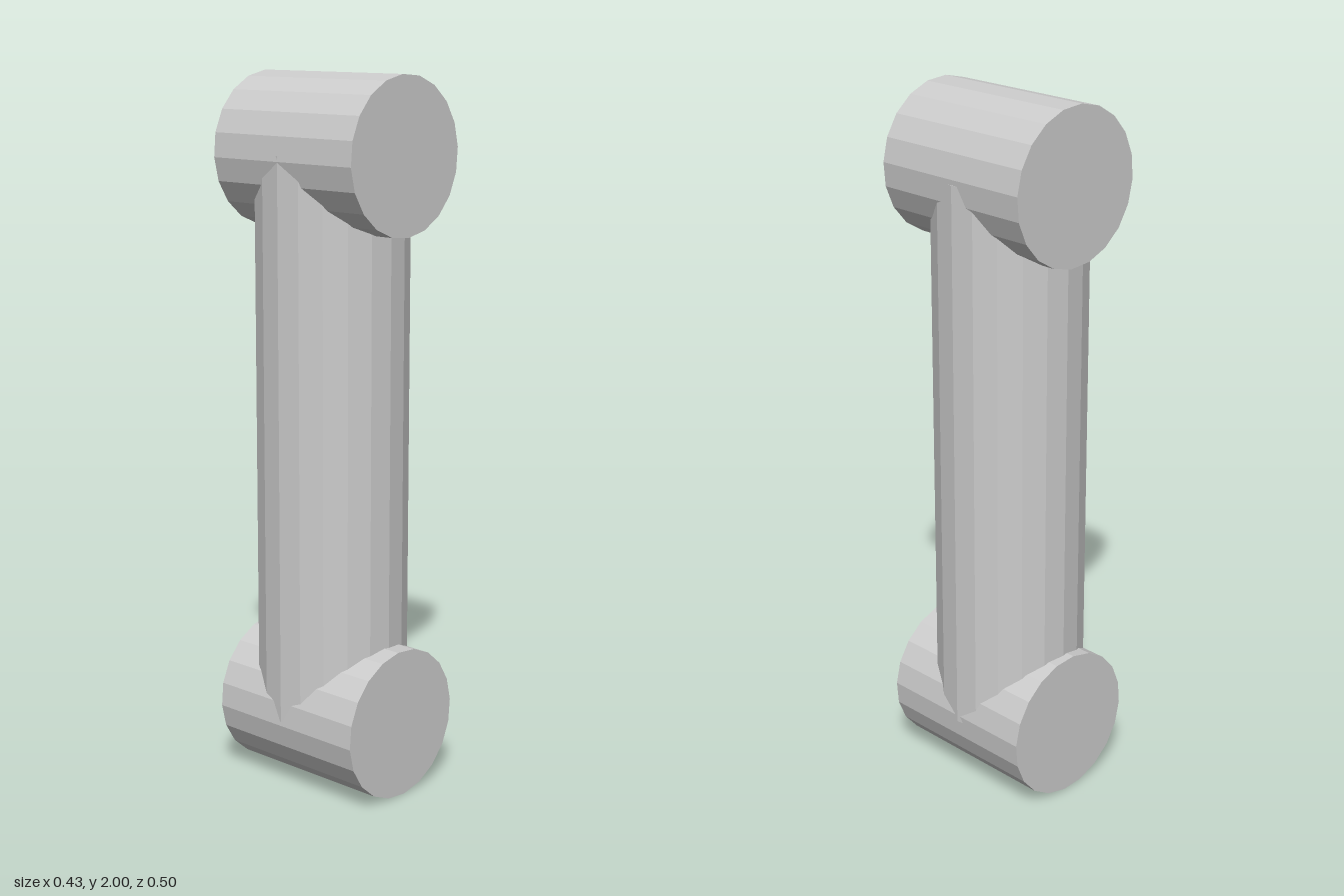
import * as THREE from 'three';

const RADIUS = 0.2135;
const SIDES = 20;

export function createModel() {
  const group = new THREE.Group();
  const material = new THREE.MeshStandardMaterial({ color: 0xcccccc, flatShading: true });

  // upright shaft, its ends buried in the middle of the cross cylinders
  const shaft = new THREE.Mesh(
    new THREE.CylinderGeometry(RADIUS, RADIUS, 1.575, SIDES), material);
  shaft.name = 'shaft';
  shaft.position.set(0, 1, -0.0125);
  group.add(shaft);

  // short horizontal cylinders at both ends, running front to back
  const endGeometry = new THREE.CylinderGeometry(
    RADIUS, RADIUS, 0.5, SIDES, 1, false, 0.07).rotateX(Math.PI / 2);
  for (const [name, y] of [['lowerJoint', 0.2155], ['upperJoint', 1.787]]) {
    const joint = new THREE.Mesh(endGeometry, material);
    joint.name = name;
    joint.position.set(-0.001, y, 0);
    group.add(joint);
  }
  return group;
}
